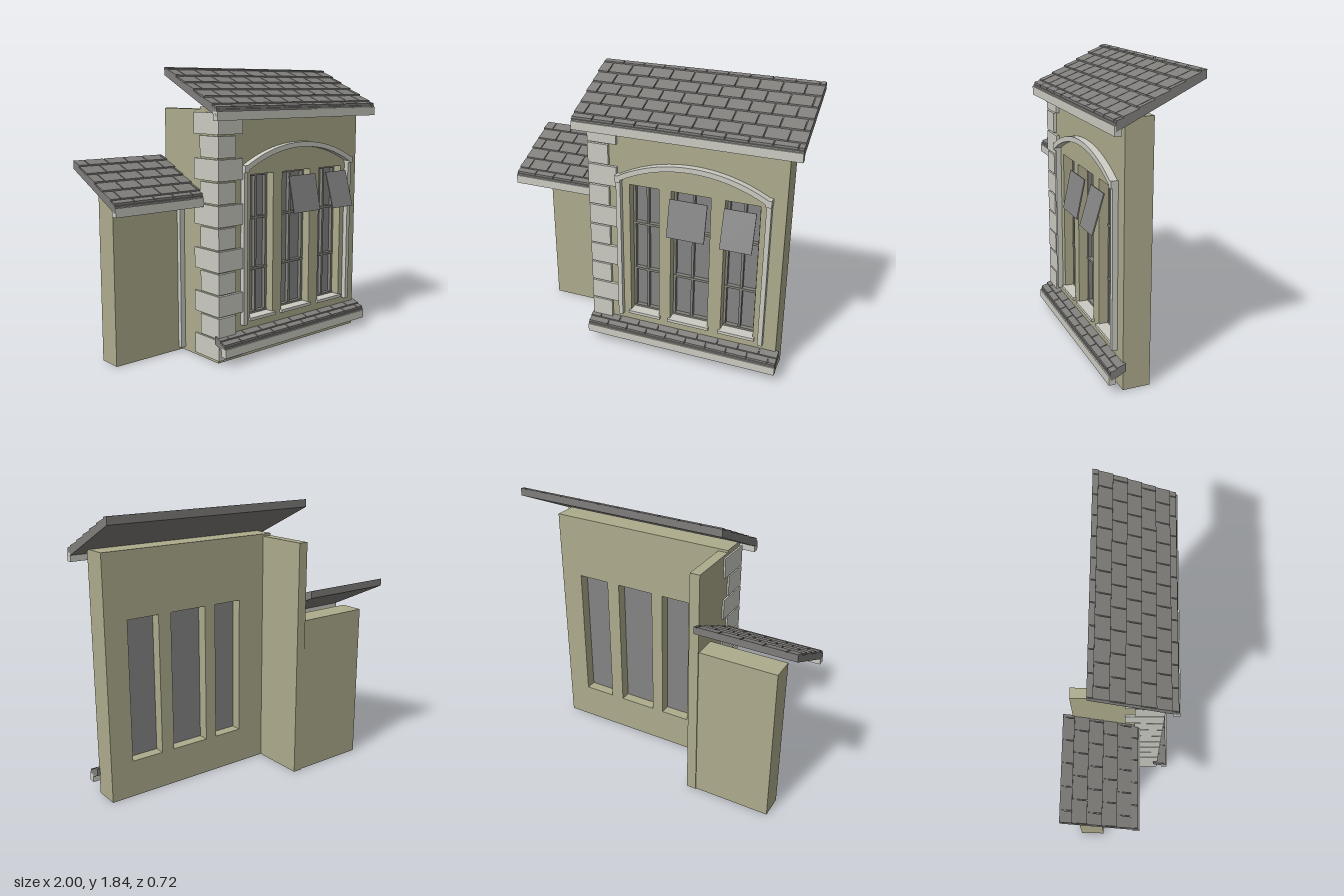
import * as THREE from 'three';

export function createModel() {
  const root = new THREE.Group();
  const mat = (name, color) => {
    const m = new THREE.MeshStandardMaterial({ color });
    m.name = name;
    return m;
  };
  const plaster = mat('olive plaster', 0xadab8c);
  const stone = mat('pale stone', 0xcbcbc3);
  const slate = mat('grey slate', 0x7f7e7b);
  const frameGrey = mat('window frame grey', 0x82817a);
  const glass = mat('grey glass', 0x858484);

  const add = (parent, name, geo, material) => {
    const m = new THREE.Mesh(geo, material);
    m.name = name;
    parent.add(m);
    return m;
  };
  // Box given by its lower and upper limits on each axis
  const box = (parent, name, material, x0, x1, y0, y1, z0, z1) => {
    const g = new THREE.BoxGeometry(x1 - x0, y1 - y0, z1 - z0);
    g.translate((x0 + x1) / 2, (y0 + y1) / 2, (z0 + z1) / 2);
    return add(parent, name, g, material);
  };
  const group = (name) => {
    const g = new THREE.Group();
    g.name = name;
    root.add(g);
    return g;
  };
  // Side profile of [z, y] points stretched from x0 to x1
  const profileX = (pts, x0, x1) => {
    const s = new THREE.Shape(pts.map(([z, y]) => new THREE.Vector2(z, y)));
    const g = new THREE.ExtrudeGeometry(s, { depth: x1 - x0, bevelEnabled: false });
    g.rotateY(-Math.PI / 2);
    g.translate(x1, 0, 0);
    return g;
  };

  // Main wall with three window openings
  const windows = [[-0.09, 0.11], [0.19, 0.45], [0.54, 0.76]];
  const sillY = 0.245, headY = 1.175;
  const wallShape = new THREE.Shape();
  wallShape.moveTo(-0.355, 0).lineTo(0.915, 0).lineTo(0.915, 1.6).lineTo(-0.355, 1.6);
  for (const [a, b] of windows) {
    const h = new THREE.Path();
    h.moveTo(a, sillY).lineTo(a, headY).lineTo(b, headY).lineTo(b, sillY);
    wallShape.holes.push(h);
  }
  const wallGeo = new THREE.ExtrudeGeometry(wallShape, { depth: 0.17, bevelEnabled: false });
  wallGeo.translate(0, 0, 0.06);
  add(root, 'mainWall', wallGeo, plaster);
  box(root, 'returnWall', plaster, -0.355, -0.29, 0, 1.585, -0.305, 0.06);
  box(root, 'lowWall', plaster, -0.87, -0.355, 0, 1.067, -0.298, -0.14);
  box(root, 'cornerTrim', stone, -0.39, -0.35, 0.02, 1.02, -0.15, -0.11);

  // Windows: glass, frame bars, sill
  windows.forEach(([a, b]) => {
    const w = group('window');
    const c = (a + b) / 2, z0 = 0.14, z1 = 0.17, t = 0.016;
    box(w, 'glass', glass, a, b, sillY, headY, 0.132, 0.145);
    for (const x of [a + t / 2, c, b - t / 2])
      box(w, 'frameUpright', frameGrey, x - t / 2, x + t / 2, sillY, headY, z0, z1);
    for (const y of [sillY + t / 2, 0.548, 0.885, headY - t / 2])
      box(w, 'frameRail', frameGrey, a, b, y - t / 2, y + t / 2, z0, z1 + 0.004);
    box(w, 'sill', stone, a - 0.012, b + 0.012, 0.228, 0.248, 0.17, 0.25);
  });

  // Tilted open top sashes
  for (const [a, b, zEnd] of [[0.2, 0.445, 0.338], [0.55, 0.75, 0.358]]) {
    const dz = zEnd - 0.28, dy = 0.24, t = 0.008;
    add(root, 'openSash', profileX([
      [0.277, 1.147], [0.277 + dz - t, 1.147 - dy], [0.277 + dz, 1.149 - dy], [0.284, 1.149],
    ], a, b), glass);
  }

  // Arched surround
  const surround = group('windowSurround');
  const R = 0.993, cx = 0.33, cy = 0.372, half = Math.asin(0.49 / R);
  const arch = new THREE.Shape();
  arch.absarc(cx, cy, R, Math.PI / 2 + half, Math.PI / 2 - half, true);
  arch.absarc(cx, cy, R - 0.033, Math.PI / 2 - half, Math.PI / 2 + half, false);
  const archGeo = new THREE.ExtrudeGeometry(arch, { depth: 0.047, bevelEnabled: false, curveSegments: 20 });
  archGeo.translate(0, 0, 0.228);
  add(surround, 'arch', archGeo, stone);
  for (const s of [-1, 1]) {
    const x = cx + s * 0.485;
    box(surround, 'pilaster', stone, x - 0.015, x + 0.015, 0.215, 1.215, 0.22, 0.263);
    box(surround, 'archFoot', stone, x - 0.018, x + 0.018, 1.195, 1.24, 0.22, 0.275);
  }

  // Corner stones, long and short by turns, on both faces of the corner
  const quoins = group('cornerStones');
  for (let i = 0; i < 11; i++) {
    const long = i % 2 === 0, y0 = 0.02 + i * 0.1415, y1 = y0 + 0.132;
    box(quoins, 'frontStone', stone, -0.366, long ? -0.17 : -0.225, y0, y1, 0.2, 0.25);
    box(quoins, 'sideStone', stone, -0.366, -0.335, y0, y1, long ? 0.01 : 0.07, 0.2);
  }

  // Sloped roof: slab, stepped tile courses and eave board
  const slope = 0.482, thick = 0.045;
  function roof(name, x0, x1, zEave, yEave, zBack) {
    const g = group(name);
    const top = (z) => yEave + (zEave - z) * slope;
    add(g, 'slab', profileX([
      [zBack, top(zBack) - thick], [zEave, yEave - thick], [zEave, yEave], [zBack, top(zBack)],
    ], x0, x1), slate);
    const pitch = 0.087, tile = 0.14, gap = 0.006;
    let row = 0;
    for (let z = zEave - 0.043 + pitch; z > zBack + 0.02; z -= pitch, row++) {
      const zf = Math.min(z, zEave - 0.004), zb = Math.max(z - pitch - 0.008, zBack);
      const wedge = [
        [zb, top(zb) - 0.004], [zf, top(zf) - 0.004], [zf, top(zf) + 0.014], [zb, top(zb) + 0.004],
      ];
      for (let x = x0 - (row % 2) * tile / 2; x < x1; x += tile) {
        const a = Math.max(x + gap / 2, x0), b = Math.min(x + tile - gap / 2, x1);
        if (b - a > 0.01) add(g, 'tile', profileX(wedge, a, b), slate);
      }
    }
    box(g, 'eaveBoard', stone, x0, x1, yEave - 0.067, yEave - 0.012, zEave - 0.035, zEave + 0.007);
  }
  roof('mainRoof', -0.435, 1.0, 0.318, 1.59, -0.195);
  roof('lowRoof', -1.0, -0.35, 0.098, 1.052, -0.362);
  roof('baseLedge', -0.375, 0.935, 0.318, 0.128, 0.22);

  return root;
}
